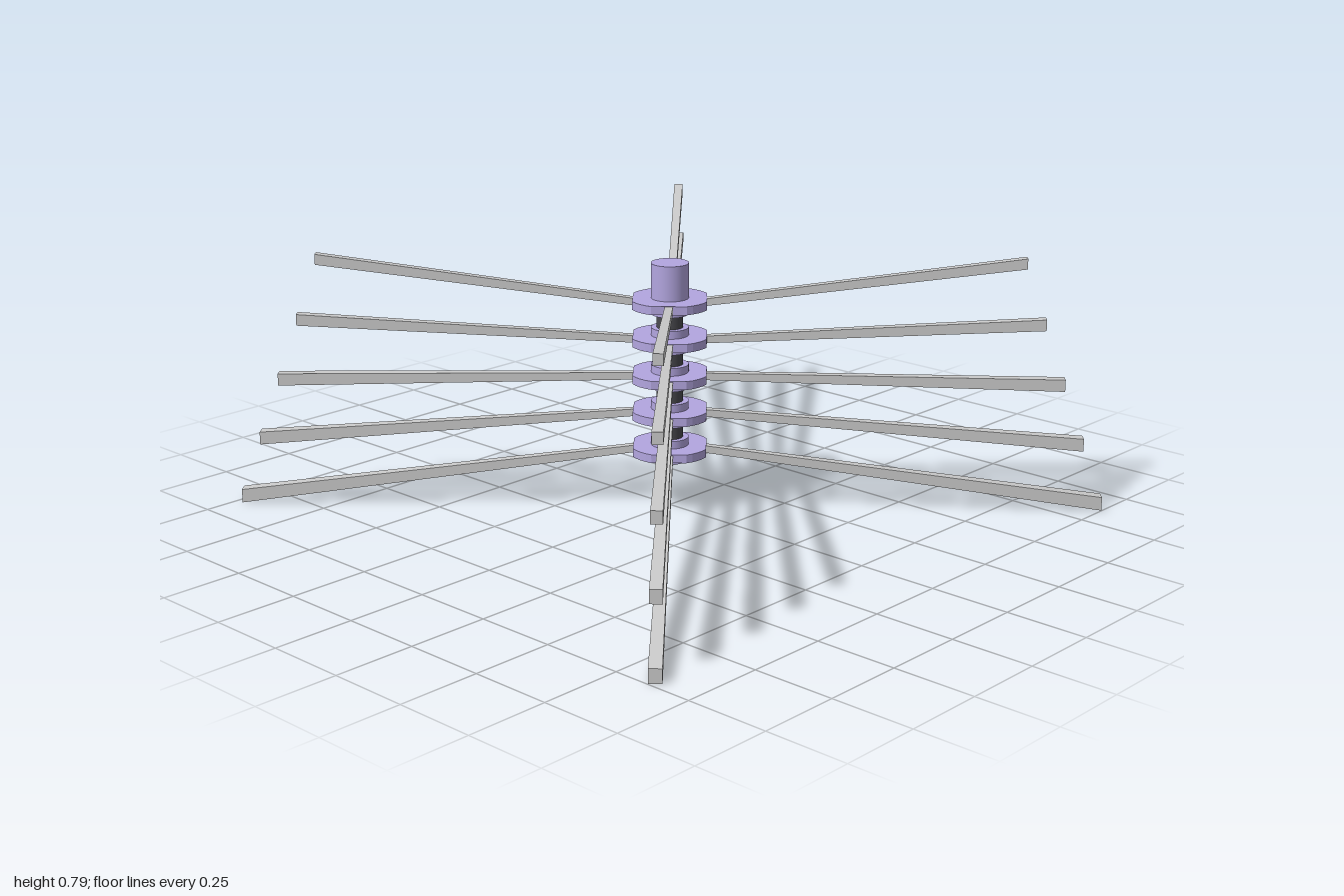
import * as THREE from 'three';

const TIERS = 5, ARMS = 4;
const ARM_ANGLE = 0.725; // heading of the first arm from +x toward -z

// Square bar tapering from the hub outward, with upright end faces
function armGeometry(r0, y0, w0, h0, r1, y1, w1, h1) {
  const g = new THREE.BoxGeometry(1, 1, 1);
  const p = g.attributes.position;
  for (let i = 0; i < p.count; i++) {
    const outer = p.getX(i) > 0;
    p.setXYZ(i,
      outer ? r1 : r0,
      (outer ? y1 : y0) + p.getY(i) * (outer ? h1 : h0),
      p.getZ(i) * (outer ? w1 : w0));
  }
  g.computeVertexNormals();
  return g;
}

// Round plate with a flat cut where each arm attaches
function plateGeometry(radius, flatRadius, thickness) {
  const half = Math.acos(flatRadius / radius);
  const pts = [];
  for (let i = 0; i < ARMS; i++) {
    const start = ARM_ANGLE + i * Math.PI / 2 + half;
    const sweep = Math.PI / 2 - 2 * half;
    for (let j = 0; j <= 4; j++) {
      const a = start + sweep * j / 4;
      pts.push(new THREE.Vector2(Math.cos(a) * radius, Math.sin(a) * radius));
    }
  }
  const g = new THREE.ExtrudeGeometry(new THREE.Shape(pts), { depth: thickness, bevelEnabled: false });
  g.translate(0, 0, -thickness / 2);
  g.rotateX(-Math.PI / 2);
  return g;
}

export function createModel() {
  const model = new THREE.Group();
  const armMat = new THREE.MeshStandardMaterial({ color: 0xcccccc });
  const hubMat = new THREE.MeshStandardMaterial({ color: 0xb3a6e0 });
  const shaftMat = new THREE.MeshStandardMaterial({ color: 0x4a4a4f });

  const add = (name, geometry, material, y = 0) => {
    const mesh = new THREE.Mesh(geometry, material);
    mesh.name = name;
    mesh.position.y = y;
    model.add(mesh);
    return mesh;
  };
  const cylinder = (r, bottom, top, name, material) =>
    add(name, new THREE.CylinderGeometry(r, r, top - bottom, 40), material, (bottom + top) / 2);

  // Central shaft
  cylinder(0.04, 0.155, 0.7, 'shaft', shaftMat);

  const plate = plateGeometry(0.123, 0.111, 0.026);
  for (let i = 0; i < TIERS; i++) {
    const t = i / (TIERS - 1);
    const y = 0.185 + 0.46 * t;

    // Hub plate and collar; the top collar extends into a cap
    add('hubPlate', plate, hubMat, y);
    cylinder(0.057, y - 0.037, i === TIERS - 1 ? 0.765 : y + 0.037, 'collar', hubMat);

    // Four arms, shorter and slimmer toward the top
    const size = THREE.MathUtils.lerp(0.042, 0.032, t);
    const arm = armGeometry(
      0.1, y, 0.024, 0.022,
      THREE.MathUtils.lerp(1.318, 1.06, t), 0.021 + 0.749 * t, size * 0.88, size);
    for (let k = 0; k < ARMS; k++) {
      add('arm', arm, armMat).rotation.y = ARM_ANGLE + k * Math.PI / 2;
    }
  }
  return model;
}
